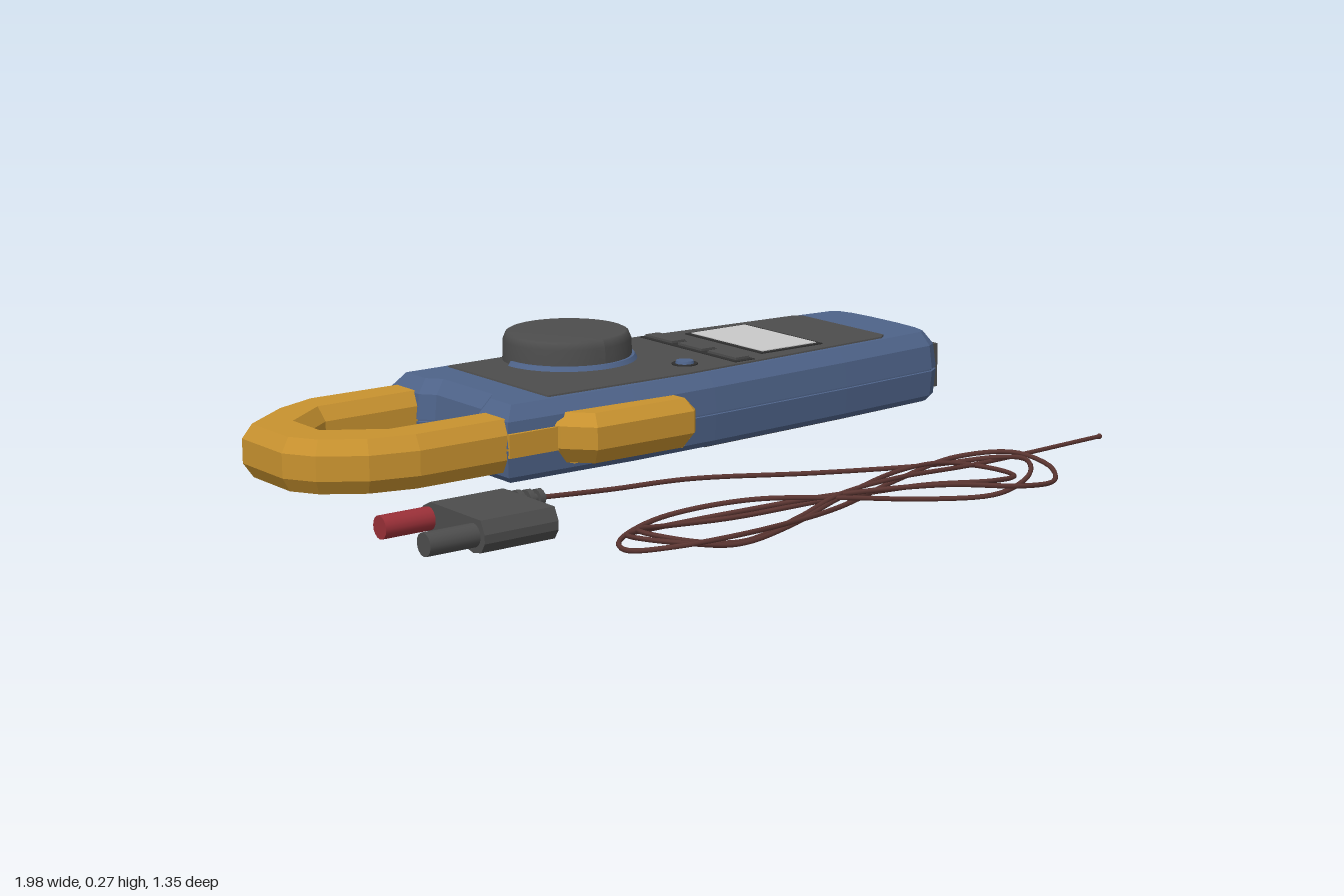
import * as THREE from 'three';

const mat = (name, color) => Object.assign(new THREE.MeshStandardMaterial({ color }), { name });
const blue = mat('blue casing', 0x4e6389);
const yellow = mat('amber plastic', 0xc8922f);
const gray = mat('dark gray plastic', 0x4d4d4d);
const black = mat('near black', 0x303030);
const screenGray = mat('screen gray', 0xc9c9c9);
const metal = mat('socket metal', 0x8c8c8c);
const red = mat('red plastic', 0x9a3038);
const brown = mat('brown wire', 0x5c3632);

// Stacks an (x, z) outline at several heights, each layer [y, inset]; capped at both ends
function layered(points, layers) {
  let area = 0;
  const n = points.length;
  points.forEach(([x, z], i) => {
    const [u, v] = points[(i + 1) % n];
    area += x * v - u * z;
  });
  const pts = area > 0 ? points : [...points].reverse();
  const normals = pts.map(([x, z], i) => {
    const [u, v] = pts[(i + 1) % n];
    const l = Math.hypot(u - x, v - z);
    return [(v - z) / l, (x - u) / l];
  });
  const rings = layers.map(([y, inset]) => pts.map(([x, z], i) => {
    const a = normals[(i + n - 1) % n], b = normals[i];
    const k = inset / (1 + a[0] * b[0] + a[1] * b[1]);
    return [x - k * (a[0] + b[0]), y, z - k * (a[1] + b[1])];
  }));
  const pos = [];
  const tri = (a, b, c) => pos.push(...a, ...b, ...c);
  for (let r = 0; r + 1 < rings.length; r++) {
    for (let i = 0; i < n; i++) {
      const j = (i + 1) % n, lo = rings[r], hi = rings[r + 1];
      tri(lo[i], hi[i], hi[j]);
      tri(lo[i], hi[j], lo[j]);
    }
  }
  const top = rings[rings.length - 1], bottom = rings[0];
  const faces = THREE.ShapeUtils.triangulateShape(pts.map(([x, z]) => new THREE.Vector2(x, z)), []);
  for (const [a, b, c] of faces) {
    tri(bottom[a], bottom[b], bottom[c]);
    tri(top[a], top[c], top[b]);
  }
  const g = new THREE.BufferGeometry();
  g.setAttribute('position', new THREE.Float32BufferAttribute(pos, 3));
  g.computeVertexNormals();
  return g;
}

export function createModel() {
  const model = new THREE.Group();
  model.name = 'clampMeter';
  const add = (name, geometry, material, x = 0, y = 0, z = 0, parent = model) => {
    const m = new THREE.Mesh(geometry, material);
    m.name = name;
    m.position.set(x, y, z);
    parent.add(m);
    return m;
  };
  const box = (name, x0, x1, y0, y1, z0, z1, material) => add(name,
    new THREE.BoxGeometry(x1 - x0, y1 - y0, z1 - z0), material, (x0 + x1) / 2, (y0 + y1) / 2, (z0 + z1) / 2);
  const rodX = (name, r0, r1, x0, x1, y, z, material, sides = 16) => add(name,
    new THREE.CylinderGeometry(r1, r0, x1 - x0, sides).rotateZ(-Math.PI / 2), material, (x0 + x1) / 2, y, z);

  // Casing with a notch for the jaw and a groove along its seam
  add('casing', layered([
    [-0.48, -0.66], [-0.1, -0.667], [0.15, -0.66], [0.6, -0.637], [0.92, -0.613], [0.955, -0.59],
    [0.972, -0.53], [0.978, -0.45], [0.978, -0.34], [0.972, -0.26], [0.955, -0.2], [0.92, -0.177],
    [0.6, -0.153], [0.15, -0.13], [-0.1, -0.123], [-0.48, -0.13],
    [-0.48, -0.265], [-0.45, -0.3], [-0.45, -0.49], [-0.48, -0.525],
  ], [[0.004, 0.02], [0.02, 0.006], [0.087, 0], [0.088, 0.005], [0.092, 0.005], [0.093, 0],
    [0.155, 0.008], [0.19, 0.035]]), blue);

  // Clamp jaw, an open ring whose ends sit in the casing
  add('jaw', layered([
    [-0.44, -0.655], [-0.72, -0.655], [-0.84, -0.605], [-0.985, -0.495], [-0.985, -0.31],
    [-0.94, -0.235], [-0.84, -0.165], [-0.72, -0.135], [-0.44, -0.135],
    [-0.44, -0.262], [-0.73, -0.262], [-0.85, -0.34], [-0.85, -0.44], [-0.74, -0.525], [-0.44, -0.53],
  ], [[0.03, 0.022], [0.065, 0], [0.125, 0], [0.16, 0.022]]), yellow);

  // Jaw opening lever on the side
  add('lever', layered([
    [-0.345, -0.14], [-0.335, -0.115], [-0.275, -0.05], [0.015, -0.048], [0.028, -0.06], [0.028, -0.14],
  ], [[0.035, 0.03], [0.075, 0], [0.13, 0], [0.16, 0.025]]), yellow);
  box('leverSlide', -0.478, -0.33, 0.07, 0.128, -0.134, -0.124, yellow);

  // Face panel and underside battery cover
  add('facePanel', layered([
    [-0.33, -0.615], [0.1, -0.62], [0.6, -0.59], [0.77, -0.58], [0.795, -0.56],
    [0.795, -0.23], [0.77, -0.21], [0.6, -0.2], [0.1, -0.17], [-0.33, -0.175],
  ], [[0.186, 0], [0.194, 0.002]]), gray);
  add('batteryCover', layered([
    [0.13, -0.635], [0.6, -0.61], [0.92, -0.585], [0.945, -0.53], [0.945, -0.26],
    [0.92, -0.205], [0.6, -0.18], [0.13, -0.155],
  ], [[0, 0.003], [0.008, 0]]), gray);
  add('coverScrew', new THREE.CylinderGeometry(0.012, 0.012, 0.004, 12), metal, 0.2, 0.0015, -0.395);

  // Rotary dial and the raised collar beside it
  add('dialCollar', new THREE.CylinderGeometry(0.172, 0.19, 0.03, 32, 1, false, -1.6, 3.2), blue, -0.035, 0.19, -0.51);
  add('dial', new THREE.LatheGeometry([
    [0, 0.16], [0.164, 0.16], [0.166, 0.17], [0.164, 0.245], [0.157, 0.262], [0.15, 0.266], [0, 0.266],
  ].map(([r, y]) => new THREE.Vector2(r, y)), 40), gray, -0.035, 0, -0.51).geometry.computeVertexNormals();

  // Display and push buttons
  box('screenBezel', 0.38, 0.585, 0.19, 0.197, -0.555, -0.235, black);
  box('screen', 0.392, 0.573, 0.192, 0.199, -0.543, -0.247, screenGray);
  box('buttonTrough', 0.262, 0.325, 0.19, 0.196, -0.6, -0.195, black);
  [[-0.59, -0.475], [-0.45, -0.35], [-0.325, -0.21]].forEach(([a, b], i) =>
    box('button' + (i + 1), 0.275, 0.318, 0.19, 0.202, a, b, gray));
  add('roundButtonRim', new THREE.CylinderGeometry(0.033, 0.033, 0.008, 20), black, 0.15, 0.193, -0.26);
  add('roundButton', new THREE.CylinderGeometry(0.022, 0.026, 0.014, 20), blue, 0.15, 0.197, -0.26);

  // End plate with two sockets
  box('socketPlate', 0.962, 0.981, 0.03, 0.148, -0.56, -0.222, gray);
  for (const z of [-0.3, -0.488]) {
    add('socketRim', new THREE.TorusGeometry(0.034, 0.006, 6, 20).rotateY(Math.PI / 2), black, 0.979, 0.09, z);
    rodX('socketHole', 0.033, 0.033, 0.972, 0.982, 0.09, z, black, 20);
    rodX('socketContact', 0.024, 0.024, 0.976, 0.983, 0.09, z, metal, 6);
  }

  // Twin plug block, its profile running along x
  const profile = [[0.355, 0.055], [0.34, 0.085], [0.14, 0.085], [0.11, 0.07], [0.1, 0.047], [0.11, 0.022],
    [0.14, 0.012], [0.21, 0.028], [0.31, 0.006], [0.34, 0.012], [0.355, 0.035]];
  add('plugBlock', new THREE.ExtrudeGeometry(
    new THREE.Shape(profile.map(([z, y]) => new THREE.Vector2(-z, y))),
    { depth: 0.195, bevelEnabled: false }).rotateY(Math.PI / 2), gray, -0.872, 0, 0);
  rodX('redProng', 0.027, 0.027, -1, -0.865, 0.047, 0.135, red);
  rodX('grayProng', 0.027, 0.027, -1, -0.865, 0.047, 0.312, gray);

  // Ribbed strain relief
  rodX('strainRelief', 0.018, 0.01, -0.68, -0.56, 0.045, 0.133, gray, 12);
  for (let i = 0; i < 4; i++) {
    const x = -0.668 + i * 0.028, r = 0.031 - i * 0.003;
    rodX('strainRib', r, r, x, x + 0.014, 0.045, 0.133, gray, 12);
  }

  // Thermocouple wire: a run from the plug, coiled in figures of eight, ending in a straight tip
  const path = [
    [-0.57, 0.133], [-0.38, 0.142], [-0.17, 0.172], [0.15, 0.255], [0.43, 0.358], [0.56, 0.45], [0.565, 0.54],
    [0.49, 0.63], [0.36, 0.66], [0.2, 0.6], [0, 0.52], [-0.2, 0.43], [-0.42, 0.387], [-0.57, 0.435],
    [-0.615, 0.53], [-0.56, 0.62], [-0.43, 0.645], [-0.22, 0.59], [0, 0.515], [0.25, 0.435], [0.46, 0.412],
    [0.6, 0.47], [0.63, 0.55], [0.56, 0.645], [0.43, 0.67], [0.25, 0.6], [0, 0.505], [-0.25, 0.425],
    [-0.43, 0.4], [-0.56, 0.45], [-0.59, 0.54], [-0.52, 0.61], [-0.4, 0.63], [-0.2, 0.575], [0, 0.51],
    [0.25, 0.44], [0.42, 0.42], [0.52, 0.48], [0.51, 0.56], [0.38, 0.62], [0.2, 0.575], [0, 0.5],
    [-0.25, 0.44], [-0.42, 0.42], [-0.54, 0.46], [-0.55, 0.53], [-0.47, 0.59], [-0.36, 0.605],
    [-0.15, 0.55], [0, 0.51], [0.2, 0.48], [0.5, 0.445], [0.97, 0.395],
  ];
  const last = path.length - 1;
  const curve = new THREE.CatmullRomCurve3(path.map(([x, z], i) => new THREE.Vector3(
    x, i < 2 ? 0.045 - 0.01 * i : i === last ? 0.009 : 0.025 + 0.016 * Math.sin(i * 1.3), z)), false, 'centripetal');
  add('wire', new THREE.TubeGeometry(curve, 420, 0.006, 6), brown);
  const tip = curve.getPoint(1);
  add('wireTip', new THREE.SphereGeometry(0.007, 8, 6), brown, tip.x, tip.y, tip.z);

  return model;
}
